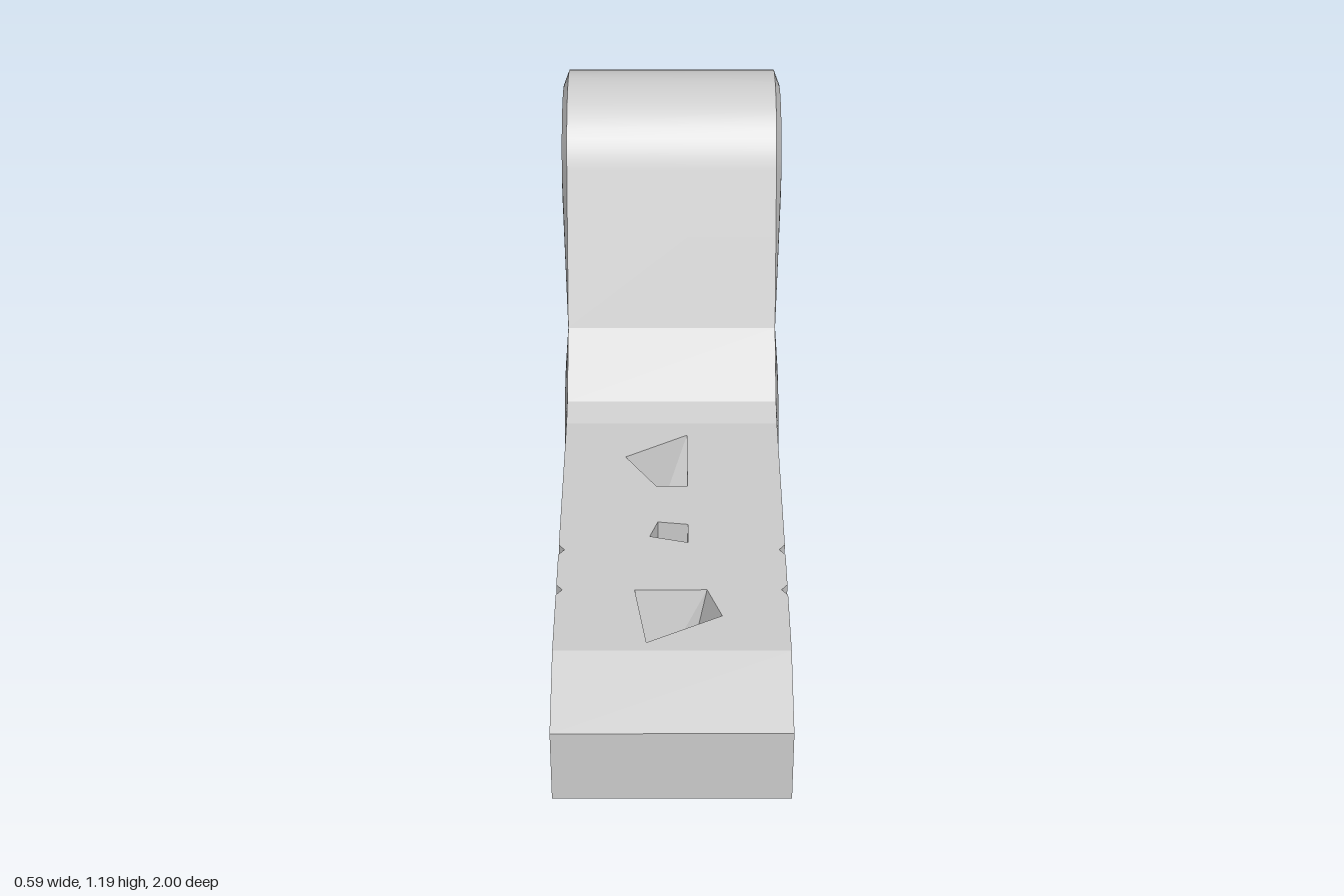
import * as THREE from 'three';
import { toCreasedNormals } from 'three/addons/utils/BufferGeometryUtils.js';
import { ConvexGeometry } from 'three/addons/geometries/ConvexGeometry.js';

const HALF = 0.28;   // half width at the rims
const BULGE = 0.295; // half width of the raised side faces
const BASE = 0.2, TOP = 0.48, NOSE = 0.4; // plank heights
const material = new THREE.MeshStandardMaterial({ color: 0xcccccc });
const flatMaterial = new THREE.MeshStandardMaterial({ color: 0xcccccc, flatShading: true });

function addMesh(parent, name, geometry, mat) {
  const mesh = new THREE.Mesh(geometry, mat);
  mesh.name = name;
  parent.add(mesh);
}

// Rounded end plus straight corners, [z, y], with a raised face on each side
function bulgedBlock(corners, cz, cy, radius, faceRadius) {
  const points = [];
  for (const side of [-1, 1]) {
    for (const [z, y] of corners) points.push(new THREE.Vector3(side * HALF, y, z));
    for (let i = 0; i < 56; i++) {
      const a = (i / 56) * Math.PI * 2, c = Math.cos(a), s = Math.sin(a);
      points.push(new THREE.Vector3(side * HALF, cy + radius * s, cz + radius * c));
      points.push(new THREE.Vector3(side * BULGE, cy + faceRadius * s, cz + faceRadius * c));
    }
  }
  return toCreasedNormals(new ConvexGeometry(points), 0.25);
}

// Closed wall between a lower and an upper loop of [x, y, z] points
function wall(lower, upper) {
  const pos = [];
  lower.forEach((a, i) => {
    const j = (i + 1) % lower.length;
    pos.push(...a, ...lower[j], ...upper[j], ...a, ...upper[j], ...upper[i]);
  });
  const geometry = new THREE.BufferGeometry();
  geometry.setAttribute('position', new THREE.Float32BufferAttribute(pos, 3));
  geometry.computeVertexNormals();
  return geometry;
}

// Horizontal face with holes, facing up or down
function deck(outline, holes, y, up) {
  const flip = up ? -1 : 1;
  const toPoints = (loop) => loop.map(([x, z]) => new THREE.Vector2(x, z * flip));
  const shape = new THREE.Shape(toPoints(outline));
  shape.holes = holes.map((h) => new THREE.Path(toPoints(h)));
  return new THREE.ShapeGeometry(shape).rotateX(flip * Math.PI / 2).translate(0, y, 0);
}

export function createModel() {
  const model = new THREE.Group();

  // Upright back: leaning rounded top and heel, meeting at the neck
  addMesh(model, 'backUpper',
    bulgedBlock([[-0.385, 0.63], [-0.895, 0.63]], -0.765, 0.955, 0.235, 0.195), material);
  addMesh(model, 'backLower',
    bulgedBlock([[-0.225, 0], [-0.22, 0.5], [-0.385, 0.63], [-0.895, 0.63]], -0.52, 0.24, 0.24, 0.2), material);

  // Small ramp joining plank and back
  const ramp = new THREE.Shape([[0.145, 0.4], [0.24, 0.4], [0.24, 0.51], [0.22, 0.5], [0.145, 0.48]]
    .map(([x, y]) => new THREE.Vector2(x, y)));
  addMesh(model, 'ramp', new THREE.ExtrudeGeometry(ramp, { depth: 2 * HALF, bevelEnabled: false })
    .rotateY(Math.PI / 2).translate(-HALF, 0, 0), flatMaterial);

  // Plank outline with two V notches on each edge
  const plank = new THREE.Group();
  plank.name = 'plank';
  model.add(plank);
  const edge = [[HALF, 0.8]];
  for (const z of [0.57, 0.41]) edge.push([HALF, z + 0.02], [HALF - 0.015, z], [HALF, z - 0.02]);
  edge.push([HALF, -0.24]);
  const outline = [...edge, ...edge.map(([x, z]) => [-x, z]).reverse()];
  const full = [[-HALF, 1], [HALF, 1], ...outline];

  // Tapered holes: top opening and bottom opening, [x, z]
  const holes = [
    { top: [[-0.09, 0.57], [0.085, 0.57], [0.12, 0.67], [-0.06, 0.77]],
      bottom: [[-0.06, 0.63], [0.03, 0.6], [0.065, 0.665], [-0.06, 0.69]] },
    { top: [[-0.035, 0.295], [0.04, 0.305], [0.04, 0.38], [-0.055, 0.355]],
      bottom: [[-0.035, 0.295], [0.04, 0.305], [0.04, 0.38], [-0.055, 0.355]] },
    { top: [[-0.12, 0.01], [0.04, -0.09], [0.04, 0.14], [-0.04, 0.14]],
      bottom: [[-0.06, 0.01], [0.04, -0.02], [0.04, 0.08], [-0.04, 0.08]] },
  ];
  const at = (loop, y) => loop.map(([x, z]) => [x, z > 0.9 ? Math.min(y, NOSE) : y, z]);
  addMesh(plank, 'plankTop', deck(outline, holes.map((h) => h.top), TOP, true), flatMaterial);
  addMesh(plank, 'plankBottom', deck(full, holes.map((h) => h.bottom), BASE, false), flatMaterial);
  addMesh(plank, 'plankSides', wall(at(full, BASE), at(full, TOP)), flatMaterial);
  for (const h of holes) addMesh(plank, 'holeWalls', wall(at(h.bottom, BASE), at(h.top, TOP)), flatMaterial);

  // Sloped nose
  const slope = new THREE.BufferGeometry().setFromPoints([
    [-HALF, NOSE, 1], [HALF, NOSE, 1], [HALF, TOP, 0.8],
    [-HALF, NOSE, 1], [HALF, TOP, 0.8], [-HALF, TOP, 0.8],
  ].map((p) => new THREE.Vector3(...p)));
  slope.computeVertexNormals();
  addMesh(plank, 'noseSlope', slope, flatMaterial);

  return model;
}
